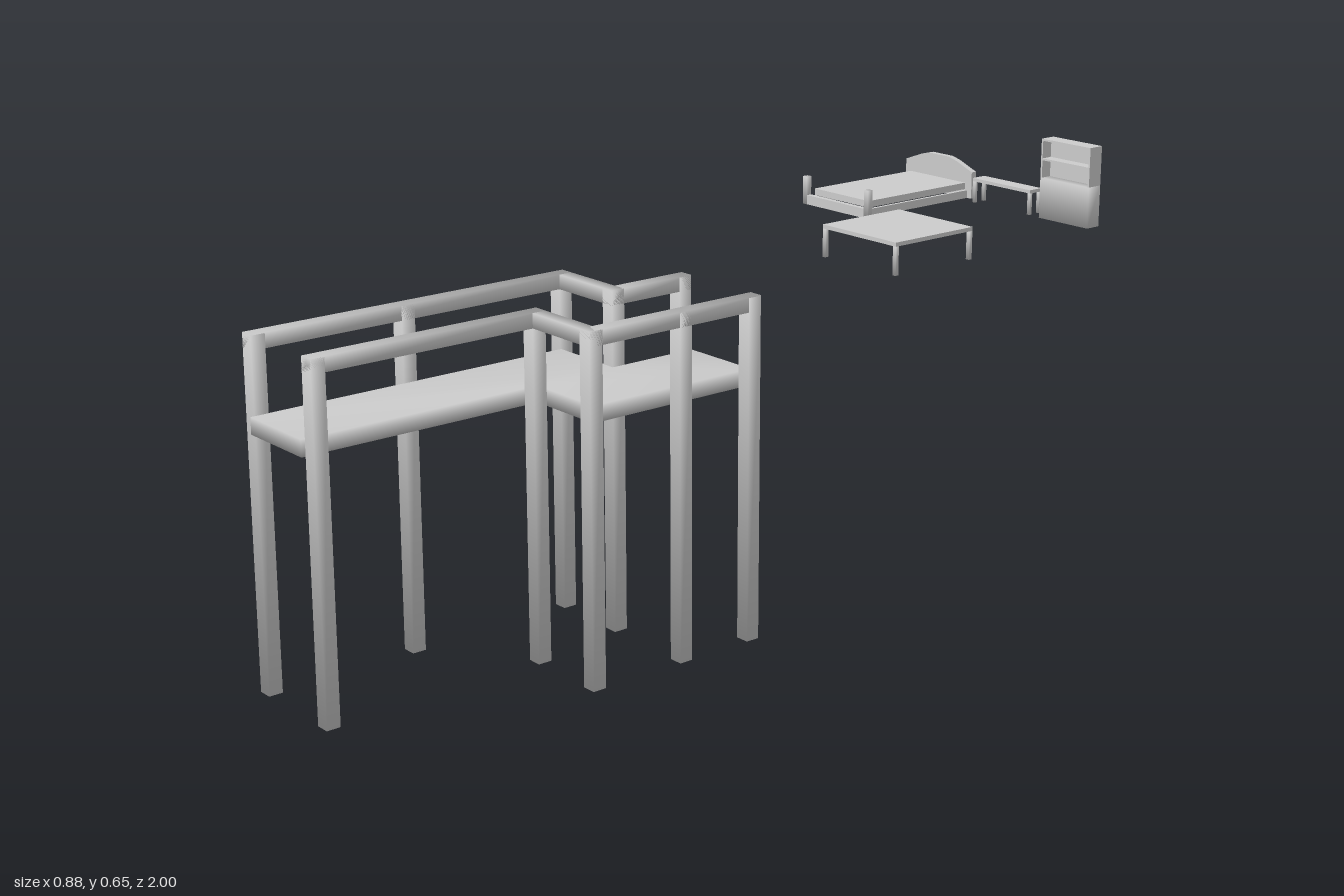
import * as THREE from 'three';
import { mergeVertices } from 'three/addons/utils/BufferGeometryUtils.js';

const grey = new THREE.MeshStandardMaterial({ color: 0xcccccc });

function add(parent, name, geometry) {
  const mesh = new THREE.Mesh(geometry, grey);
  mesh.name = name;
  parent.add(mesh);
  return mesh;
}

// Box given by its limits; soft boxes have normals averaged at the corners
function box(parent, name, [x0, x1], [y0, y1], [z0, z1], soft = false) {
  const g = new THREE.BoxGeometry(x1 - x0, y1 - y0, z1 - z0);
  if (soft) {
    const p = g.attributes.position, n = g.attributes.normal, k = 1 / Math.sqrt(3);
    for (let i = 0; i < p.count; i++) {
      n.setXYZ(i, Math.sign(p.getX(i)) * k, Math.sign(p.getY(i)) * k, Math.sign(p.getZ(i)) * k);
    }
  }
  const mesh = add(parent, name, g);
  mesh.position.set((x0 + x1) / 2, (y0 + y1) / 2, (z0 + z1) / 2);
  return mesh;
}

function group(parent, name) {
  const g = new THREE.Group();
  g.name = name;
  parent.add(g);
  return g;
}

// Thin slab on four corner legs
function table(parent, name, [x0, x1], [y0, y1], [z0, z1], t) {
  const g = group(parent, name);
  box(g, name + 'Top', [x0, x1], [y1 - t, y1], [z0, z1]);
  for (const x of [x0, x1 - t]) {
    for (const z of [z0, z1 - t]) {
      box(g, name + 'Leg', [x, x + t], [y0, y1 - t], [z, z + t], true);
    }
  }
}

function walkway(parent) {
  const g = group(parent, 'walkway');

  // Stepped deck, drawn in plan and laid flat
  const plan = [[0.112, 1], [0.112, 0.39], [0.258, 0.39], [0.258, 0.22],
    [0.411, 0.22], [0.411, 0.552], [0.262, 0.552], [0.262, 1]];
  let deck = new THREE.ExtrudeGeometry(
    new THREE.Shape(plan.map(([x, z]) => new THREE.Vector2(x, z))),
    { depth: 0.029, bevelEnabled: false });
  deck.rotateX(Math.PI / 2).translate(0, 0.477, 0);
  deck.deleteAttribute('normal');
  deck.deleteAttribute('uv');
  deck = mergeVertices(deck);
  deck.computeVertexNormals();
  add(g, 'deck', deck);

  // Handrails: path in plan, posts at its corners plus one extra
  const h = 0.0128, top = 0.609;
  const rails = [
    { name: 'rightRail', path: [[0.1, 0.98], [0.1, 0.379], [0.245, 0.379], [0.245, 0.233]], extra: [0.1, 0.7] },
    { name: 'leftRail', path: [[0.275, 0.98], [0.275, 0.565], [0.424, 0.565], [0.424, 0.233]], extra: [0.424, 0.381] },
  ];
  for (const { name, path, extra } of rails) {
    const rail = group(g, name);
    for (const [x, z] of [...path, extra]) {
      box(rail, 'post', [x - h, x + h], [0, top - 0.001], [z - h, z + h], true);
    }
    for (let i = 0; i < path.length - 1; i++) {
      const [a, b] = [path[i], path[i + 1]];
      box(rail, 'handrail',
        [Math.min(a[0], b[0]) - h, Math.max(a[0], b[0]) + h], [top - 2 * h, top],
        [Math.min(a[1], b[1]) - h, Math.max(a[1], b[1]) + h], true);
    }
  }
}

function bed(parent) {
  const g = group(parent, 'bed');
  const y0 = 0.488;

  // Arched headboard
  const outline = [[-0.44, y0], [-0.24, y0], [-0.24, 0.546], [-0.287, 0.564], [-0.31, 0.57],
    [-0.37, 0.57], [-0.393, 0.564], [-0.44, 0.546]];
  const head = new THREE.ExtrudeGeometry(
    new THREE.Shape(outline.map(([x, y]) => new THREE.Vector2(x, y))),
    { depth: 0.013, bevelEnabled: false });
  add(g, 'headboard', head).position.z = -1;

  // Footboard with two end posts
  box(g, 'footboard', [-0.428, -0.252], [y0, 0.508], [-0.69, -0.678]);
  for (const x of [-0.44, -0.252]) {
    box(g, 'footPost', [x, x + 0.012], [y0, 0.548], [-0.69, -0.677], true);
  }

  // Side rails and mattress
  for (const x of [-0.428, -0.259]) {
    box(g, 'sideRail', [x, x + 0.007], [y0, 0.505], [-0.987, -0.69]);
  }
  box(g, 'mattress', [-0.423, -0.257], [0.507, 0.521], [-0.985, -0.696]);
}

function cabinet(parent) {
  const g = group(parent, 'cabinet');
  const x = [-0.023, 0.11], y0 = 0.487, y1 = 0.655, back = -1, front = -0.965, t = 0.004;
  box(g, 'lowerCabinet', x, [y0, 0.573], [back, front], true);
  box(g, 'backPanel', x, [0.573, y1], [back, back + 0.01]);
  for (const s of [x[0], x[1] - t]) {
    box(g, 'sidePanel', [s, s + t], [0.573, y1], [back, front]);
  }
  for (const y of [0.61, y1 - t]) {
    box(g, 'shelf', x, [y, y + t], [back, front]);
  }
}

export function createModel() {
  const model = new THREE.Group();
  model.name = 'walkwayAndFurniture';
  walkway(model);
  bed(model);
  cabinet(model);
  table(model, 'bench', [-0.215, -0.05], [0.488, 0.541], [-1, -0.965], 0.007);
  table(model, 'table', [-0.058, 0.145], [0.488, 0.553], [-0.588, -0.38], 0.008);
  return model;
}
